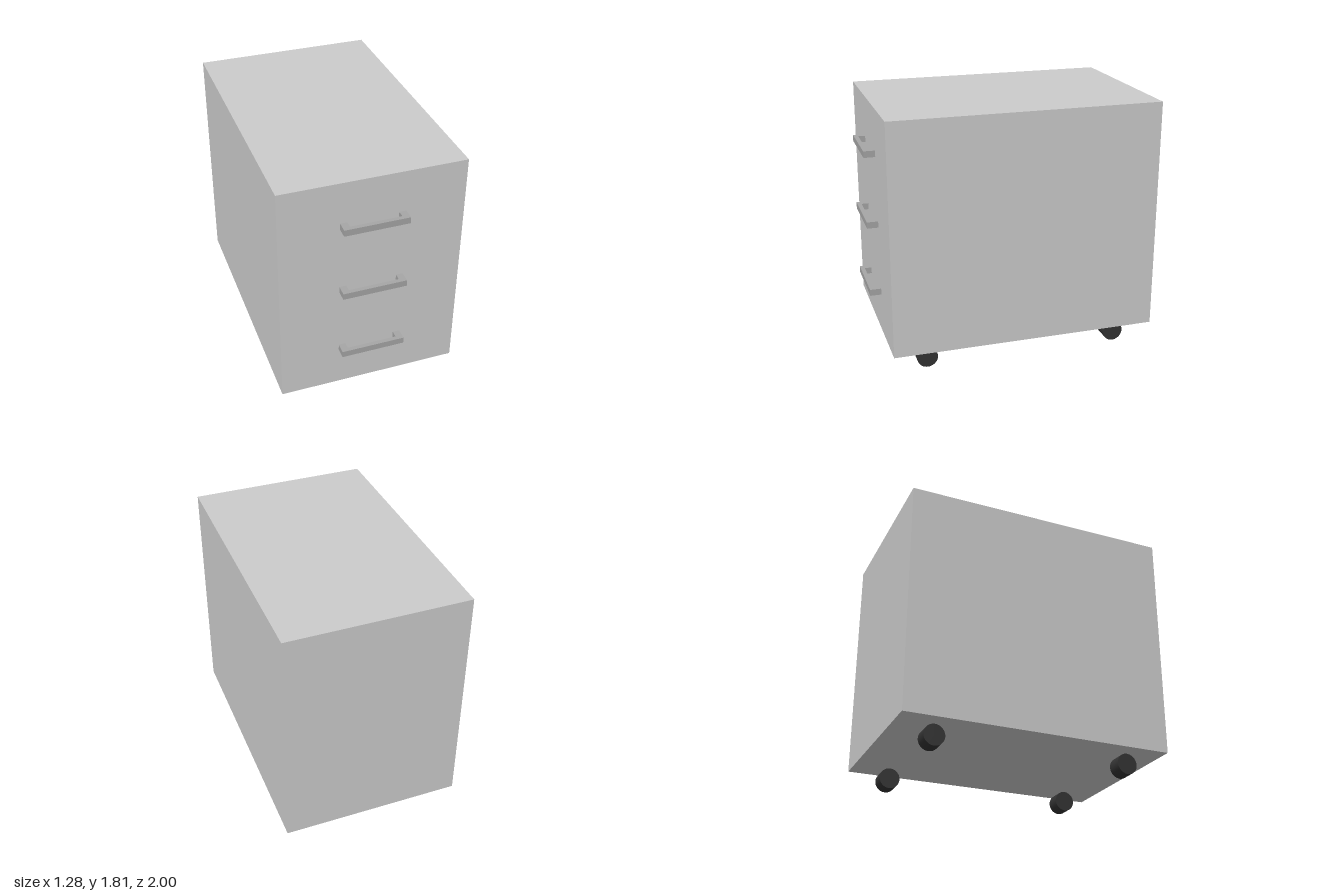
import * as THREE from 'three';

export function createModel() {
  const model = new THREE.Group();
  const grey = new THREE.MeshStandardMaterial({ color: 0xcccccc });
  const handleGrey = new THREE.MeshStandardMaterial({ color: 0xa6a6a6 });
  const black = new THREE.MeshStandardMaterial({ color: 0x333333 });

  const add = (name, geometry, material, x, y, z) => {
    const mesh = new THREE.Mesh(geometry, material);
    mesh.name = name;
    mesh.position.set(x, y, z);
    model.add(mesh);
    return mesh;
  };

  // Cabinet body
  add('cabinet', new THREE.BoxGeometry(1.28, 1.665, 1.92), grey, 0, 0.9825, -0.04);

  // Drawer handles: a U-shaped outline seen from above, extruded upwards
  const outline = new THREE.Shape([
    [-0.225, 0], [-0.225, -0.08], [0.225, -0.08], [0.225, 0],
    [0.177, 0], [0.177, -0.05], [-0.177, -0.05], [-0.177, 0],
  ].map(([x, y]) => new THREE.Vector2(x, y)));
  const handle = new THREE.ExtrudeGeometry(outline, { depth: 0.046, bevelEnabled: false });
  handle.rotateX(-Math.PI / 2);
  for (const y of [0.447, 0.958, 1.469]) add('drawerHandle', handle, handleGrey, 0, y, 0.92);

  // Wheels with their axles along x
  const wheel = new THREE.CylinderGeometry(0.074, 0.074, 0.112, 40);
  wheel.rotateZ(Math.PI / 2);
  for (const x of [-0.459, 0.502]) {
    for (const z of [0.667, -0.741]) add('wheel', wheel, black, x, 0.075, z);
  }

  return model;
}
